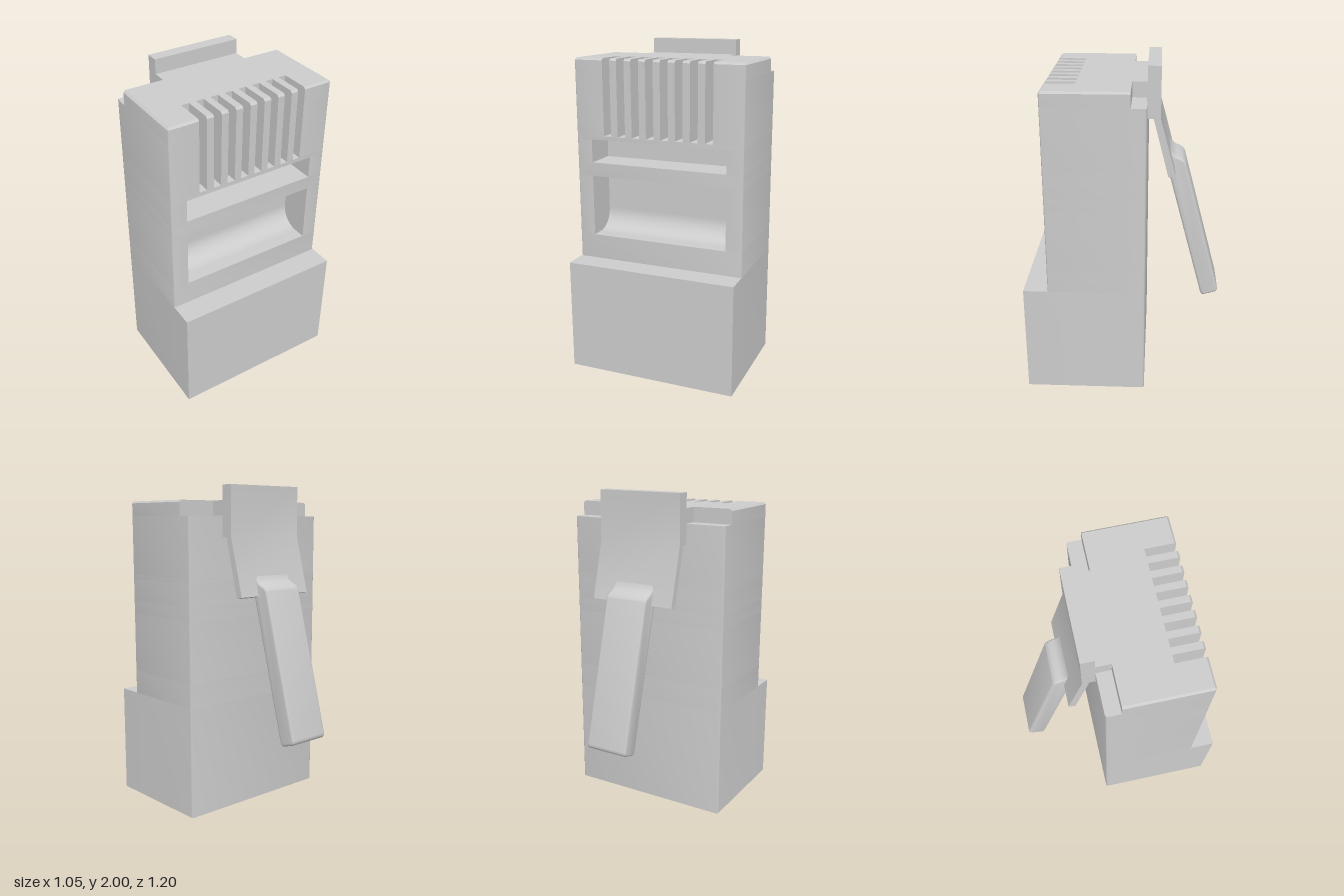
import * as THREE from 'three';
import { toCreasedNormals } from 'three/addons/utils/BufferGeometryUtils.js';

const material = new THREE.MeshStandardMaterial({ color: 0xcccccc });
const W = 0.526, BACK = -0.13, FRONT = 0.457, R = 0.015, TOP = 1.91;

function addMesh(group, name, geometry) {
  const mesh = new THREE.Mesh(toCreasedNormals(geometry, 0.6), material);
  mesh.name = name;
  group.add(mesh);
  return mesh;
}

// Closed outline from [x, y, cornerRadius] points.
function outline(points) {
  const shape = new THREE.Shape();
  points.forEach(([x, y, r = 0], i) => {
    const p = new THREE.Vector2(x, y);
    const neighbour = (k) => {
      const q = points[(i + k + points.length) % points.length];
      return new THREE.Vector2(q[0], q[1]).sub(p).setLength(r).add(p);
    };
    const a = r ? neighbour(-1) : p;
    if (i === 0) shape.moveTo(a.x, a.y); else shape.lineTo(a.x, a.y);
    if (r) {
      const b = neighbour(1);
      shape.quadraticCurveTo(x, y, b.x, b.y);
    }
  });
  shape.closePath();
  return shape;
}

// Horizontal section of the body: front pockets as [centre, width], optional rear corner steps.
function footprint({ front = FRONT, frontRadius = R, pockets = [], depth = 0, steps = false }) {
  const pts = [[-W, -front, frontRadius]];
  for (const [c, w] of pockets) {
    const a = c - w / 2, b = c + w / 2;
    pts.push([a, -front], [a, depth - front], [b, depth - front], [b, -front]);
  }
  pts.push([W, -front, frontRadius]);
  if (steps) {
    pts.push([W, 0.042], [0.277, 0.042], [0.277, -BACK], [-0.277, -BACK], [-0.277, 0.042], [-W, 0.042]);
  } else {
    pts.push([W, -BACK, R], [-W, -BACK, R]);
  }
  return outline(pts);
}

// Extrude a floor-plan shape upwards from y0 to y1.
function layer(shape, y0, y1) {
  return new THREE.ExtrudeGeometry(shape, { depth: y1 - y0, bevelEnabled: false, curveSegments: 4 })
    .rotateX(-Math.PI / 2).translate(0, y0, 0);
}

// Extrude a side profile in (z, y) across the width.
function sideways(shape, width, bevel = 0) {
  const depth = width - 2 * bevel;
  return new THREE.ExtrudeGeometry(shape, {
    depth, bevelEnabled: bevel > 0, bevelSize: bevel, bevelThickness: bevel,
    bevelOffset: -bevel, bevelSegments: 4, curveSegments: 8,
  }).translate(0, 0, -depth / 2).rotateY(-Math.PI / 2);
}

export function createModel() {
  const model = new THREE.Group();
  model.name = 'modularPlug';

  // Thicker base with the cable opening in its underside
  const base = footprint({ front: 0.604, frontRadius: 0 });
  base.holes.push(new THREE.Path([[-0.34, 0.023], [-0.34, -0.266], [0.34, -0.266], [0.34, 0.023]]
    .map(([x, y]) => new THREE.Vector2(x, y))));
  addMesh(model, 'base', layer(base, 0, 0.685));

  // Body, stacked in layers around the windows and contact slots
  const windowCut = { pockets: [[0, 0.852]], depth: 0.2 };
  const slotCut = { pockets: [], depth: 0.182 };
  for (let i = 0; i < 8; i++) slotCut.pockets.push([(i - 3.5) * 0.0911, 0.048]);
  const slotStepCut = { ...slotCut, steps: true };
  const layers = [
    ['lowerBody', {}, 0.685, 0.835],
    ['clampWindow', windowCut, 0.835, 1.207],
    ['windowBar', {}, 1.207, 1.29],
    ['upperWindow', windowCut, 1.29, 1.43],
    ['slotSill', {}, 1.43, 1.455],
    ['contactSlots', slotCut, 1.455, 1.82],
    ['steppedHead', slotStepCut, 1.82, TOP - 0.012],
  ];
  for (const [name, cut, y0, y1] of layers) addMesh(model, name, layer(footprint(cut), y0, y1));

  // Top layer with softened front and side edges
  const cap = layer(footprint(slotStepCut), TOP - 0.012, TOP);
  const pos = cap.attributes.position;
  for (let i = 0; i < pos.count; i++) {
    if (pos.getY(i) < TOP - 0.006) continue;
    pos.setX(i, THREE.MathUtils.clamp(pos.getX(i), 0.012 - W, W - 0.012));
    pos.setZ(i, Math.min(pos.getZ(i), FRONT - 0.012));
  }
  addMesh(model, 'headCap', cap);

  // Concave fillet at the back of the clamp window floor
  const z = FRONT - 0.2, r = 0.12;
  const fillet = new THREE.Shape();
  fillet.moveTo(z, 0.835);
  fillet.lineTo(z + r, 0.835);
  fillet.absarc(z + r, 0.835 + r, r, -Math.PI / 2, -Math.PI, true);
  fillet.closePath();
  addMesh(model, 'windowFillet', sideways(fillet, 0.852));

  // Latch plate hinged at the top of the back
  addMesh(model, 'latchPlate', sideways(outline([
    [-0.13, 2], [-0.13, 1.695], [-0.165, 1.695], [-0.258, 1.335],
    [-0.3, 1.346], [-0.207, 1.695], [-0.207, 2],
  ]), 0.554));

  // Release lever with a rounded shoulder
  const lever = new THREE.Shape();
  lever.moveTo(-0.258, 1.335);
  lever.lineTo(-0.244, 1.4);
  lever.lineTo(-0.264, 1.475);
  lever.quadraticCurveTo(-0.282, 1.425, -0.32, 1.413);
  lever.quadraticCurveTo(-0.36, 1.4, -0.368, 1.37);
  lever.lineTo(-0.596, 0.52);
  lever.quadraticCurveTo(-0.604, 0.492, -0.58, 0.482);
  lever.lineTo(-0.52, 0.464);
  lever.quadraticCurveTo(-0.494, 0.456, -0.487, 0.482);
  lever.closePath();
  addMesh(model, 'latchLever', sideways(lever, 0.28, 0.015));

  return model;
}
